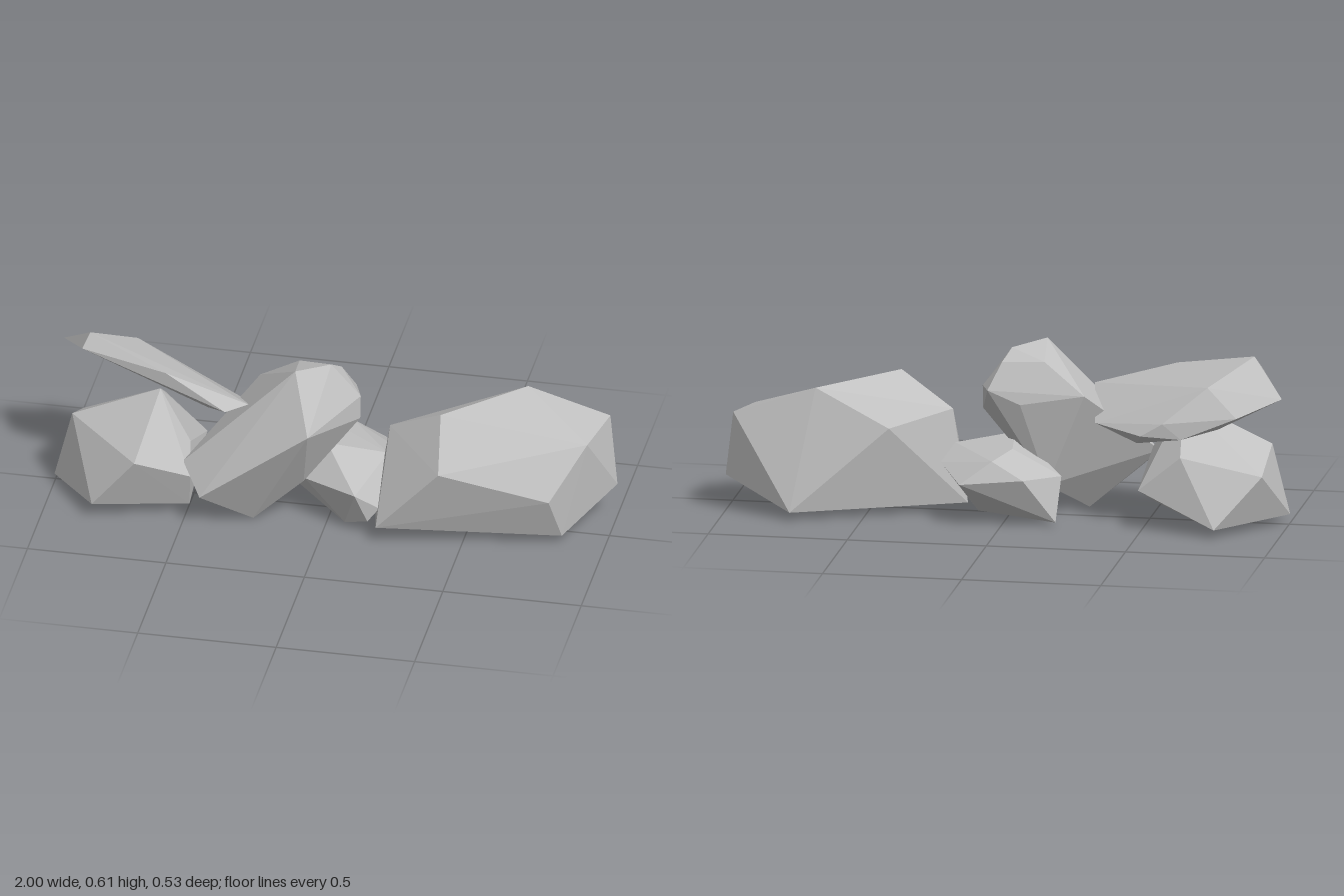
import * as THREE from 'three';
import { ConvexGeometry } from 'three/addons/geometries/ConvexGeometry.js';

// Corner points of each faceted boulder; the hull gives the flat faces
const rocks = {
  largeBoulder: [
    [0.155, 0.032, 0], [0.2, 0.068, 0.22], [0.845, 0.032, 0.083], [0.75, 0.033, -0.264],
    [1, 0.133, -0.143], [0.963, 0.377, -0.2], [0.81, 0.197, 0.145], [0.92, 0.365, 0],
    [0.67, 0.473, -0.183], [0.41, 0.484, 0.096], [0.21, 0.37, 0.01], [0.43, 0.32, 0.24],
    [0.41, 0.33, -0.165],
  ],
  cornerBoulder: [
    [-1, 0.035, 0.02], [-0.818, 0.067, 0.256], [-0.49, 0.035, 0.13], [-0.775, 0.035, -0.265],
    [-0.936, 0.29, 0.02], [-0.93, 0.21, -0.16], [-0.663, 0.255, 0.264], [-0.615, 0.436, 0.03],
    [-0.48, 0.17, 0.17], [-0.49, 0.15, -0.19], [-0.5, 0.25, 0.06], [-0.645, 0.28, -0.21],
  ],
  leaningSlab: [
    [-1, 0.495, -0.15], [-0.898, 0.564, 0.027], [-0.877, 0.612, -0.01], [-0.58, 0.548, 0.11],
    [-0.28, 0.46, 0.12], [-0.353, 0.452, 0.176], [-0.315, 0.36, -0.07], [-0.5, 0.35, -0.2],
    [-0.85, 0.436, -0.23], [-0.78, 0.388, -0.2], [-0.47, 0.3, -0.1],
    [-0.733, 0.525, -0.15], [-0.58, 0.4, -0.21], [-0.65, 0.35, -0.225],
  ],
  tiltedBoulder: [
    [-0.11, 0.616, 0.12], [0, 0.6, 0.02], [0.1, 0.465, -0.01], [0.1, 0.38, 0],
    [0.07, 0.465, -0.086], [0.025, 0.56, -0.04],
    [-0.04, 0.423, 0.25], [-0.26, 0.003, 0.13], [-0.43, 0.135, 0.25], [-0.51, 0.217, 0.145],
    [-0.08, 0.17, 0.12], [-0.127, 0.567, -0.04], [-0.05, 0.42, -0.1], [-0.28, 0.46, -0.095],
    [-0.14, 0.12, -0.05],
  ],
  smallBoulder: [
    [-0.19, 0.015, -0.17], [-0.2, 0.17, -0.107], [-0.085, 0.18, -0.245], [0.14, 0.16, -0.26],
    [0.235, 0.2, -0.1], [0.2, 0.25, 0], [0.03, 0.24, -0.22], [-0.03, 0.27, -0.14],
    [-0.01, 0.288, 0.04], [0.12, 0.175, 0.2], [0.2, 0.11, 0.155], [0.16, 0.06, 0.17],
    [0.07, 0.025, 0.13], [0.1, 0.03, -0.1], [-0.08, 0.17, 0.1],
  ],
};

export function createModel() {
  const group = new THREE.Group();
  group.name = 'rockCluster';
  const stone = new THREE.MeshStandardMaterial({ color: 0xc0c0c0 });
  stone.name = 'grey stone';

  // One hull mesh per boulder
  for (const [name, corners] of Object.entries(rocks)) {
    const points = corners.map((c) => new THREE.Vector3(...c));
    const mesh = new THREE.Mesh(new ConvexGeometry(points), stone);
    mesh.name = name;
    group.add(mesh);
  }
  return group;
}
